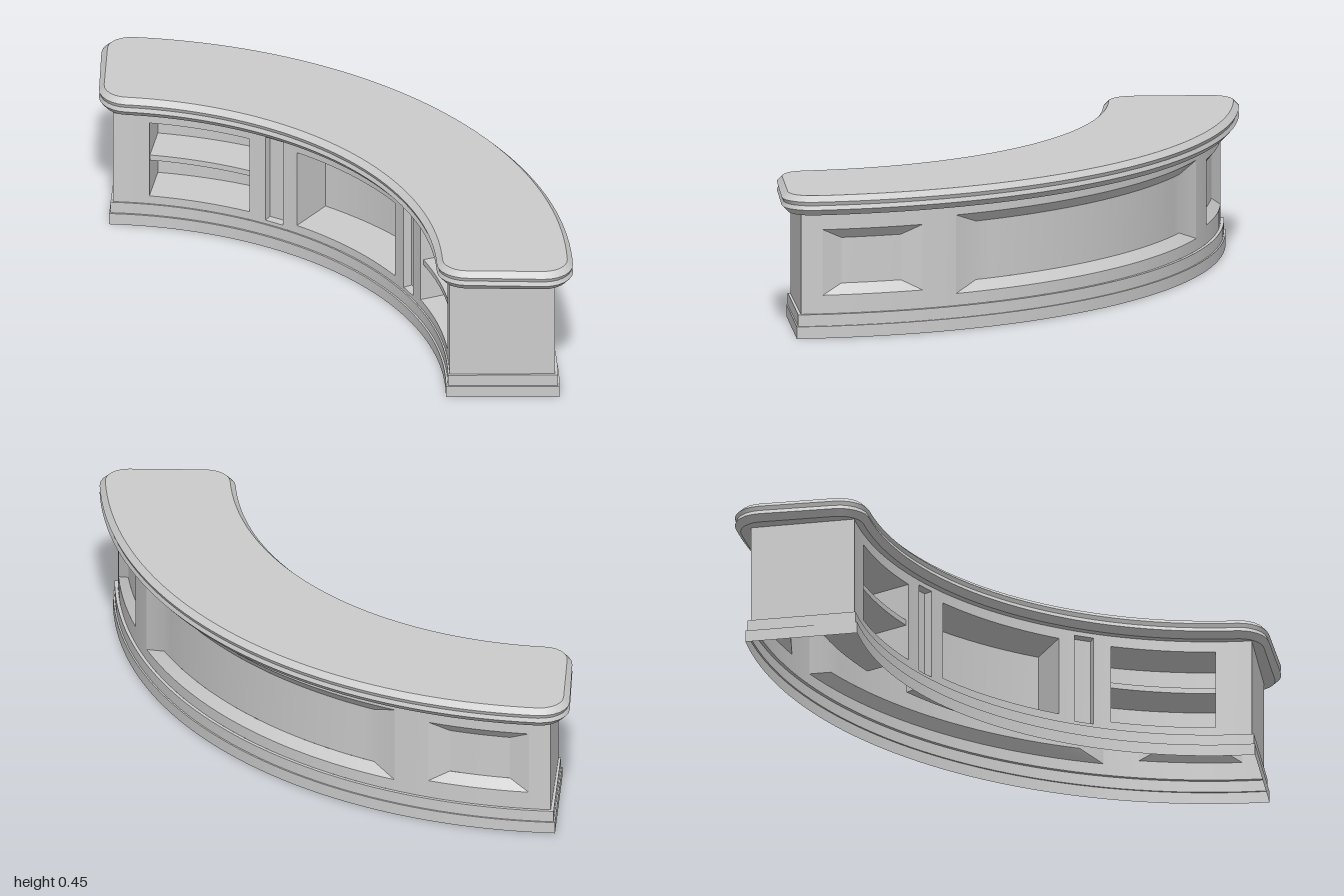
import * as THREE from 'three';
import { toCreasedNormals } from 'three/addons/utils/BufferGeometryUtils.js';

const CX = -1.131;              // x of the arc centre
const R_OUT = 1.416, R_IN = 1.097;
const DEG = Math.PI / 180;
const END = 42.7 * DEG;         // half angle of the cabinet
const Y0 = 0.073, Y1 = 0.39;    // cabinet wall bottom and top

const point = (r, t, y) => [CX + r * Math.cos(t), y, r * Math.sin(t)];

function makeMesh(name, tris, side = THREE.DoubleSide) {
  const geo = new THREE.BufferGeometry();
  geo.setAttribute('position', new THREE.Float32BufferAttribute(tris.flat(), 3));
  const mesh = new THREE.Mesh(toCreasedNormals(geo, 0.32),
    new THREE.MeshStandardMaterial({ color: 0xcccccc, side }));
  mesh.name = name;
  return mesh;
}

// Curved quad from four polar corners [r, angle, y], subdivided from a to b
function patch(out, a, b, c, d) {
  const n = Math.max(1, Math.ceil(Math.abs(a[1] - b[1]) / (2 * DEG)));
  const mix = (p, q, k) => point(...p.map((v, i) => v + (q[i] - v) * k));
  for (let i = 0; i < n; i++) {
    const k = i / n, m = (i + 1) / n;
    const p = mix(a, b, k), q = mix(a, b, m), s = mix(d, c, m), t = mix(d, c, k);
    out.push(p, q, s, p, s, t);
  }
}

// Recess from a rectangle on radius r to a smaller one on radius r2
function recess(out, r, r2, t0, t1, y0, y1, insetT, insetY) {
  const it = Math.sign(t1 - t0) * insetT;
  const front = [[r, t1, y0], [r, t0, y0], [r, t0, y1], [r, t1, y1]];
  const back = [[r2, t1 - it, y0 + insetY], [r2, t0 + it, y0 + insetY],
    [r2, t0 + it, y1 - insetY], [r2, t1 - it, y1 - insetY]];
  for (let i = 0; i < 4; i++) {
    const j = (i + 1) % 4;
    patch(out, front[i], front[j], back[j], back[i]);
  }
  patch(out, ...back);
}

// Curved wall with rectangular openings listed in order of angle
function wall(out, r, start, end, openings) {
  const piece = (t0, t1, y0, y1) =>
    patch(out, [r, t1, y0], [r, t0, y0], [r, t0, y1], [r, t1, y1]);
  let t = start;
  for (const o of openings) {
    piece(t, o.t0, Y0, Y1);
    piece(o.t0, o.t1, Y0, o.y0);
    piece(o.t0, o.t1, o.y1, Y1);
    t = o.t1;
  }
  piece(t, end, Y0, Y1);
}

// Plan outline of an arc segment with corner radius c
function outline(R, r, A, c) {
  const pts = [], steps = c > 0 ? 6 : 0, N = 48;
  const corner = (rc, s, from) => {
    for (let i = 0; i <= steps; i++) {
      const f = from + (steps ? i / steps : 0) * Math.PI / 2;
      pts.push([rc + c * Math.cos(f), s * (A - c / rc) + c * Math.sin(f) / rc]);
    }
  };
  const arc = (rad, rc, s) => {
    const a = A - c / rc;
    for (let i = 1; i < N; i++) pts.push([rad, s * a * (2 * i / N - 1)]);
  };
  arc(R, R - c, 1);
  corner(R - c, 1, 0);
  corner(r + c, 1, Math.PI / 2);
  arc(r, r + c, -1);
  corner(r + c, -1, Math.PI);
  corner(R - c, -1, Math.PI * 1.5);
  return pts;
}

// Skin between stacked outlines, given as { pts, y }
function loft(out, rings) {
  for (let k = 0; k + 1 < rings.length; k++) {
    const lo = rings[k], hi = rings[k + 1], n = lo.pts.length;
    for (let i = 0; i < n; i++) {
      const j = (i + 1) % n;
      const a = point(...lo.pts[j], lo.y), b = point(...lo.pts[i], lo.y);
      const c = point(...hi.pts[i], hi.y), d = point(...hi.pts[j], hi.y);
      out.push(a, b, c, a, c, d);
    }
  }
}

function cap(out, ring, up) {
  const p = ring.pts.map(q => point(...q, ring.y));
  const faces = THREE.ShapeUtils.triangulateShape(p.map(q => new THREE.Vector2(q[0], q[2])), []);
  for (const [i, j, k] of faces) {
    const a = p[i], b = p[j], c = p[k];
    const ny = (b[2] - a[2]) * (c[0] - a[0]) - (b[0] - a[0]) * (c[2] - a[2]);
    if ((ny > 0) === up) out.push(a, b, c);
    else out.push(a, c, b);
  }
}

export function createModel() {
  const group = new THREE.Group();

  // Countertop with a bevelled, slightly pinched edge
  const edge = [[0.017, 0.386], [0, 0.405], [0.005, 0.418], [0, 0.43], [0.017, 0.447]];
  const topRings = edge.map(([i, y]) =>
    ({ pts: outline(1.472 - i, 1.06 + i, 45 * DEG - i / 1.26, 0.09 - i), y }));
  const top = [];
  loft(top, topRings);
  cap(top, topRings[0], false);
  cap(top, topRings[4], true);
  group.add(makeMesh('countertop', top, THREE.FrontSide));

  // Two-step plinth, open underneath
  const tier1 = outline(1.431, 1.086, 43.27 * DEG, 0);
  const tier2 = outline(1.426, 1.092, 43.08 * DEG, 0);
  const plinth = [];
  loft(plinth, [
    { pts: tier1, y: 0 }, { pts: tier1, y: 0.037 },
    { pts: tier2, y: 0.037 }, { pts: tier2, y: Y0 },
    { pts: outline(R_OUT, R_IN, END, 0), y: Y0 },
  ]);
  group.add(makeMesh('plinth', plinth));

  // Convex front with three bevelled panels
  const small = { y0: 0.13, y1: 0.333, inset: 2.5 * DEG };
  const panels = [
    { ...small, t0: -40 * DEG, t1: -27.3 * DEG },
    { t0: -22.85 * DEG, t1: 22.85 * DEG, y0: 0.11, y1: 0.353, inset: 3.3 * DEG },
    { ...small, t0: 27.3 * DEG, t1: 40 * DEG },
  ];
  const front = [];
  wall(front, R_OUT, -END, END, panels);
  group.add(makeMesh('outerWall', front));
  for (const p of panels) {
    const tris = [];
    recess(tris, R_OUT, 1.391, p.t0, p.t1, p.y0, p.y1, p.inset, 0.031);
    group.add(makeMesh('recessedPanel', tris));
  }

  // Concave back with cubbies and narrow flutes between them
  const cubby = { y0: 0.1, y1: 0.352, r2: 1.247, name: 'cubby' };
  const flute = { y0: 0.085, y1: 0.372, r2: 1.125, name: 'flute' };
  const bays = [
    { ...cubby, t0: 36.9, t1: 20.2, shelf: true },
    { ...flute, t0: 17.3, t1: 14.1 },
    { ...cubby, t0: 11.4, t1: -11.4 },
    { ...flute, t0: -14.1, t1: -17.3 },
    { ...cubby, t0: -20.2, t1: -36.9, shelf: true },
  ].map(b => ({ ...b, t0: b.t0 * DEG, t1: b.t1 * DEG }));
  const back = [];
  wall(back, R_IN, END, -END, bays);
  group.add(makeMesh('innerWall', back));
  for (const b of bays) {
    const tris = [];
    recess(tris, R_IN, b.r2, b.t0, b.t1, b.y0, b.y1, 0, 0);
    group.add(makeMesh(b.name, tris));
    if (!b.shelf) continue;
    const shelf = [], r = 1.107, lo = 0.218, hi = 0.236;
    patch(shelf, [r, b.t1, lo], [r, b.t0, lo], [r, b.t0, hi], [r, b.t1, hi]);
    patch(shelf, [r, b.t1, hi], [r, b.t0, hi], [b.r2, b.t0, hi], [b.r2, b.t1, hi]);
    patch(shelf, [b.r2, b.t1, lo], [b.r2, b.t0, lo], [r, b.t0, lo], [r, b.t1, lo]);
    group.add(makeMesh('shelf', shelf));
  }

  // Flat end walls
  for (const s of [1, -1]) {
    const [ra, rb] = s > 0 ? [R_IN, R_OUT] : [R_OUT, R_IN];
    const tris = [], t = s * END;
    patch(tris, [ra, t, Y0], [rb, t, Y0], [rb, t, Y1], [ra, t, Y1]);
    group.add(makeMesh(s > 0 ? 'frontEndWall' : 'backEndWall', tris));
  }
  return group;
}
